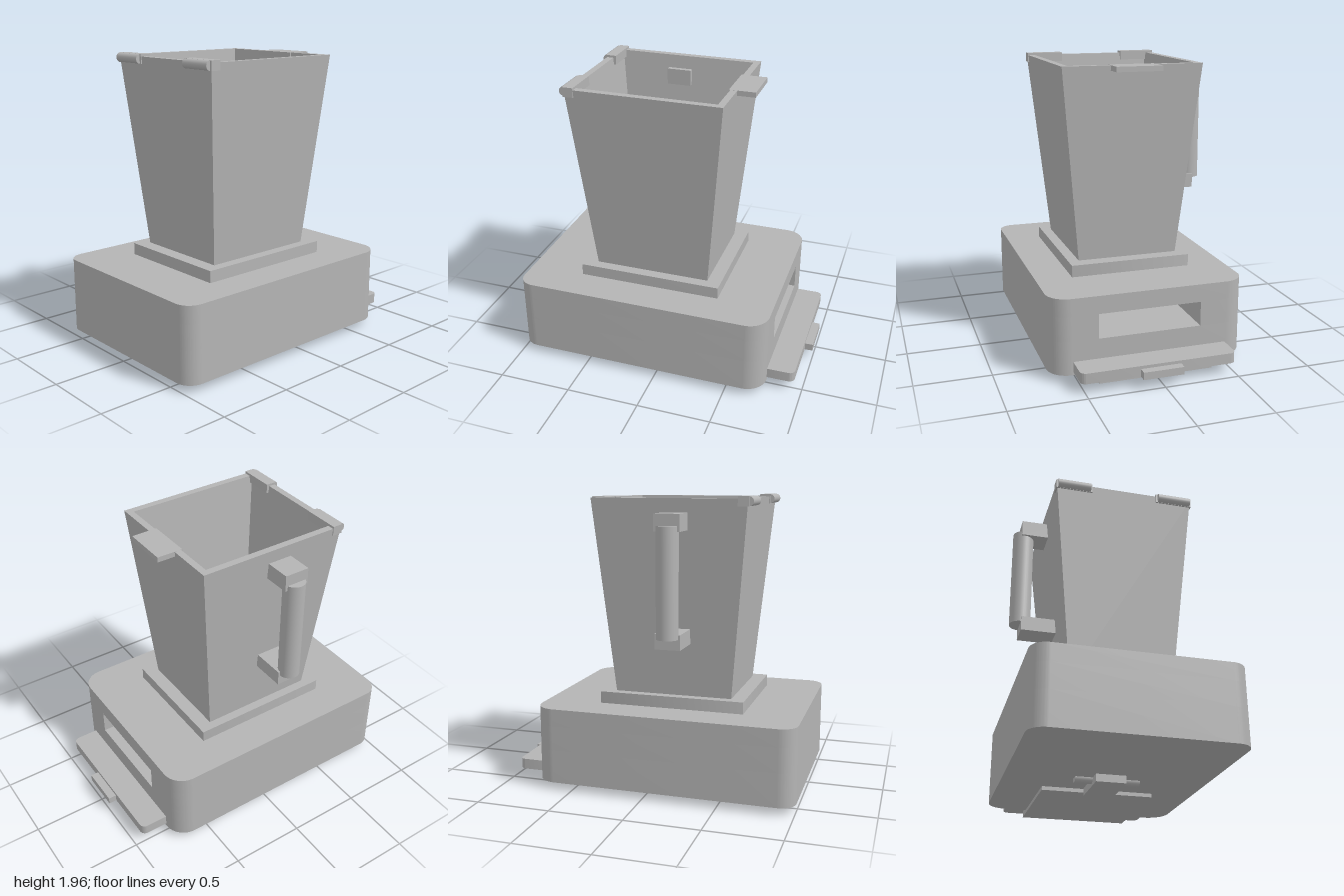
import * as THREE from 'three';
import { toCreasedNormals } from 'three/addons/utils/BufferGeometryUtils.js';

const grey = new THREE.MeshStandardMaterial({ color: 0xb4b4b4 });
grey.name = 'plainGrey';

export function createModel() {
  const model = new THREE.Group();
  model.name = 'blender';

  const add = (name, geometry) => {
    const mesh = new THREE.Mesh(geometry, grey);
    mesh.name = name;
    model.add(mesh);
    return mesh;
  };

  // Box given by its limits on each axis
  const box = (name, x0, x1, y0, y1, z0, z1) =>
    add(name, new THREE.BoxGeometry(x1 - x0, y1 - y0, z1 - z0)
      .translate((x0 + x1) / 2, (y0 + y1) / 2, (z0 + z1) / 2));

  // Plan outline with rounded corners and an optional notch in the +x side
  const outline = (x0, x1, z0, z1, rLeft, rRight, notch) => {
    const s = new THREE.Shape();
    const a = -z1, b = -z0; // shape y is -z
    s.moveTo(x0 + rLeft, a);
    s.lineTo(x1 - rRight, a);
    s.absarc(x1 - rRight, a + rRight, rRight, -Math.PI / 2, 0);
    if (notch) {
      s.lineTo(x1, -notch.z1);
      s.lineTo(notch.x, -notch.z1);
      s.lineTo(notch.x, -notch.z0);
      s.lineTo(x1, -notch.z0);
    }
    s.absarc(x1 - rRight, b - rRight, rRight, 0, Math.PI / 2);
    s.absarc(x0 + rLeft, b - rLeft, rLeft, Math.PI / 2, Math.PI);
    s.absarc(x0 + rLeft, a + rLeft, rLeft, Math.PI, Math.PI * 1.5);
    return s;
  };
  const slab = (name, shape, y0, y1) => {
    const g = new THREE.ExtrudeGeometry(shape, { depth: y1 - y0, bevelEnabled: false, curveSegments: 14 });
    g.rotateX(-Math.PI / 2).translate(0, y0, 0);
    return add(name, toCreasedNormals(g, 0.5));
  };

  // Housing in three layers, the middle one notched for the side opening
  const housing = [-1, 0.76, -0.65, 0.675, 0.11, 0.14];
  slab('housingLower', outline(...housing), 0.05, 0.275);
  slab('housingMiddle', outline(...housing, { x: 0.3, z0: -0.33, z1: 0.36 }), 0.275, 0.44);
  slab('housingUpper', outline(...housing), 0.44, 0.56);
  box('openingStep', 0.29, 0.36, 0.27, 0.365, -0.285, 0.315);

  // Sliding tray with grip and the plate beneath it
  slab('tray', outline(0.5, 0.945, -0.505, 0.53, 0.02, 0.04), 0.07, 0.14);
  box('trayGrip', 0.93, 1, 0.07, 0.12, -0.125, 0.145);
  box('underPlate', 0.12, 0.875, 0.025, 0.07, -0.365, 0.395);

  // Latch and cross pin under the housing
  box('latch', -0.24, 0.1, 0, 0.06, -0.085, 0.115);
  add('latchPin', new THREE.CylinderGeometry(0.033, 0.033, 0.43, 20)
    .rotateX(Math.PI / 2).translate(-0.12, 0.05, 0.015));

  // Collar around the jar foot, open in the middle
  const collar = outline(-0.615, 0.375, -0.395, 0.43, 0.002, 0.002);
  const hole = new THREE.Path();
  hole.moveTo(-0.5, 0.31);
  hole.lineTo(0.26, 0.31);
  hole.lineTo(0.26, -0.34);
  hole.lineTo(-0.5, -0.34);
  hole.closePath();
  collar.holes.push(hole);
  slab('collar', collar, 0.56, 0.64);

  // Tapered square jar: rings of [half width x, y, half depth z] from outside to inside
  const rings = [
    [0.393, 0.56, 0.338], [0.52, 1.945, 0.473],
    [0.475, 1.945, 0.426], [0.345, 0.57, 0.29], [0, 0.57, 0],
  ];
  const signs = [[-1, 1], [1, 1], [1, -1], [-1, -1]];
  const corner = (r, i) => [
    -0.12 + r[0] * signs[i % 4][0], r[1], 0.0125 + r[2] * signs[i % 4][1],
  ];
  const points = [];
  for (let k = 0; k < rings.length - 1; k++) {
    for (let i = 0; i < 4; i++) {
      const a = corner(rings[k], i), b = corner(rings[k], i + 1);
      const c = corner(rings[k + 1], i + 1), d = corner(rings[k + 1], i);
      points.push(...a, ...b, ...c);
      if (rings[k + 1][0] > 0) points.push(...a, ...c, ...d);
    }
  }
  const jar = new THREE.BufferGeometry();
  jar.setAttribute('position', new THREE.Float32BufferAttribute(points, 3));
  jar.computeVertexNormals();
  add('jar', jar);
  add('driveShaftCap', new THREE.CylinderGeometry(0.055, 0.055, 0.008, 28).translate(-0.12, 0.573, 0.01));

  // Rim tab and the two hinges opposite it
  box('rimTab', 0.345, 0.52, 1.912, 1.946, -0.14, 0.167);
  for (const [z0, z1] of [[-0.465, -0.215], [0.237, 0.49]]) {
    box('hingeLeaf', -0.645, -0.575, 1.897, 1.96, z0, z1);
    add('hingeBarrel', new THREE.CylinderGeometry(0.031, 0.031, z1 - z0 - 0.025, 20)
      .rotateX(Math.PI / 2).translate(-0.643, 1.929, (z0 + z1) / 2));
  }

  // Rear handle: two arms and an upright grip
  box('handleUpperArm', -0.25, -0.08, 1.745, 1.855, -0.625, -0.37);
  box('handleLowerArm', -0.25, -0.08, 1, 1.1, -0.605, -0.34);
  add('handleGrip', new THREE.CylinderGeometry(0.072, 0.072, 0.71, 32).translate(-0.165, 1.425, -0.603));

  return model;
}
